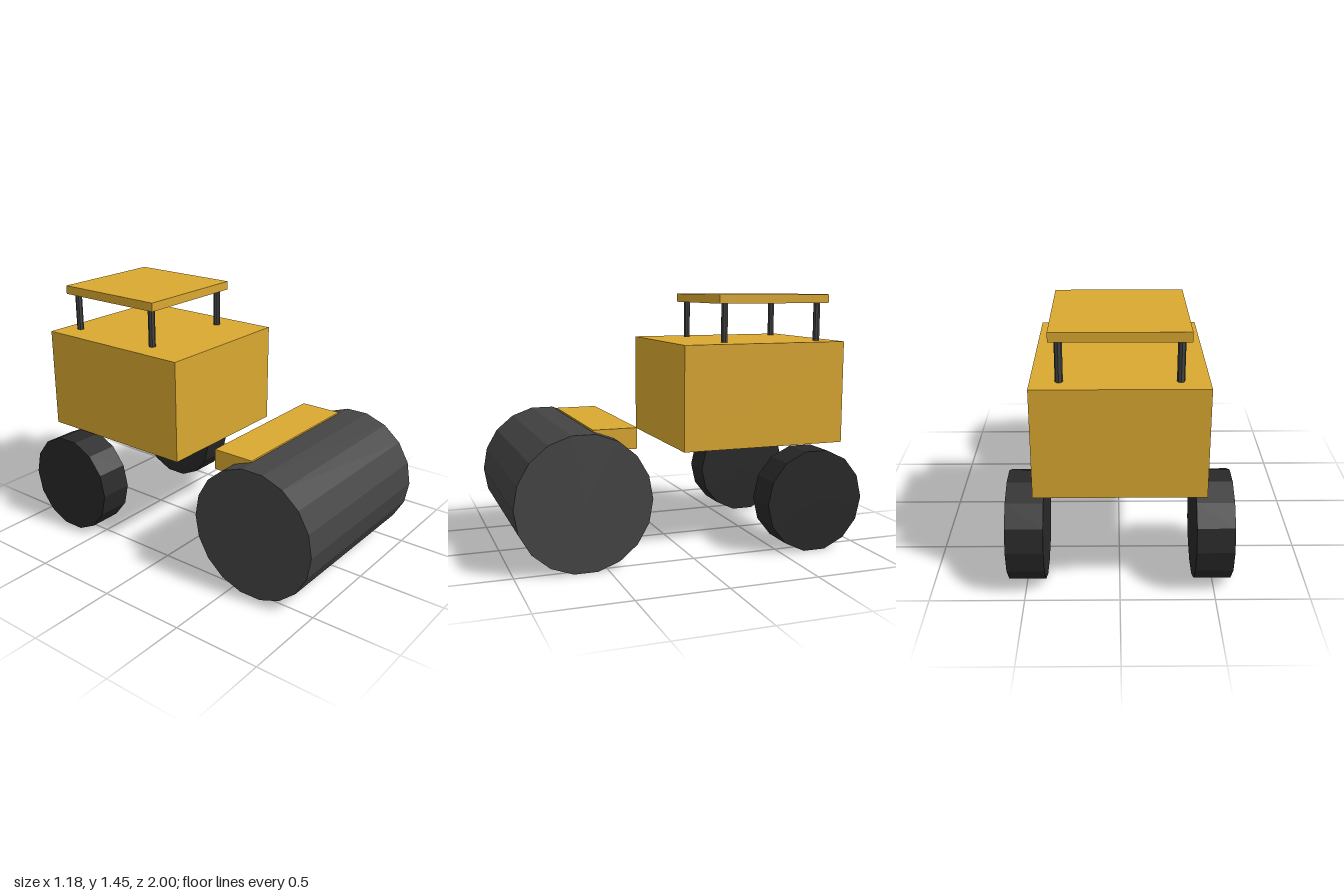
import * as THREE from 'three';

const paint = new THREE.MeshStandardMaterial({ color: 0xdaa830, flatShading: true });
const steel = new THREE.MeshStandardMaterial({ color: 0x444444, flatShading: true });
const rubber = new THREE.MeshStandardMaterial({ color: 0x282828, flatShading: true });

export function createModel() {
  const group = new THREE.Group();

  const add = (name, geometry, material, x, y, z) => {
    const mesh = new THREE.Mesh(geometry, material);
    mesh.name = name;
    mesh.position.set(x, y, z);
    group.add(mesh);
  };
  // Cylinder lying along x
  const roller = (radius, width, sides) =>
    new THREE.CylinderGeometry(radius, radius, width, sides).rotateZ(Math.PI / 2);

  // Front drum and the yoke plate resting on it
  add('drum', roller(0.375, 1.08, 18), steel, 0, 0.37, 0.625);
  add('yoke', new THREE.BoxGeometry(0.88, 0.115, 0.245), paint, 0, 0.6875, 0.43);

  // Engine body
  add('body', new THREE.BoxGeometry(0.88, 0.59, 0.985), paint, 0, 0.885, -0.458);

  // Rear wheels
  for (const [side, s] of [['left', 1], ['right', -1]]) {
    add(side + 'Wheel', roller(0.295, 0.197, 14), rubber, s * 0.491, 0.29, -0.705);

    // Canopy posts
    for (const [end, z] of [['Front', -0.26], ['Rear', -0.848]]) {
      add(side + end + 'Post', new THREE.CylinderGeometry(0.02, 0.02, 0.22, 8), steel, s * 0.296, 1.29, z);
    }
  }

  // Canopy roof
  add('roof', new THREE.BoxGeometry(0.685, 0.05, 0.69), paint, 0, 1.424, -0.555);

  return group;
}
